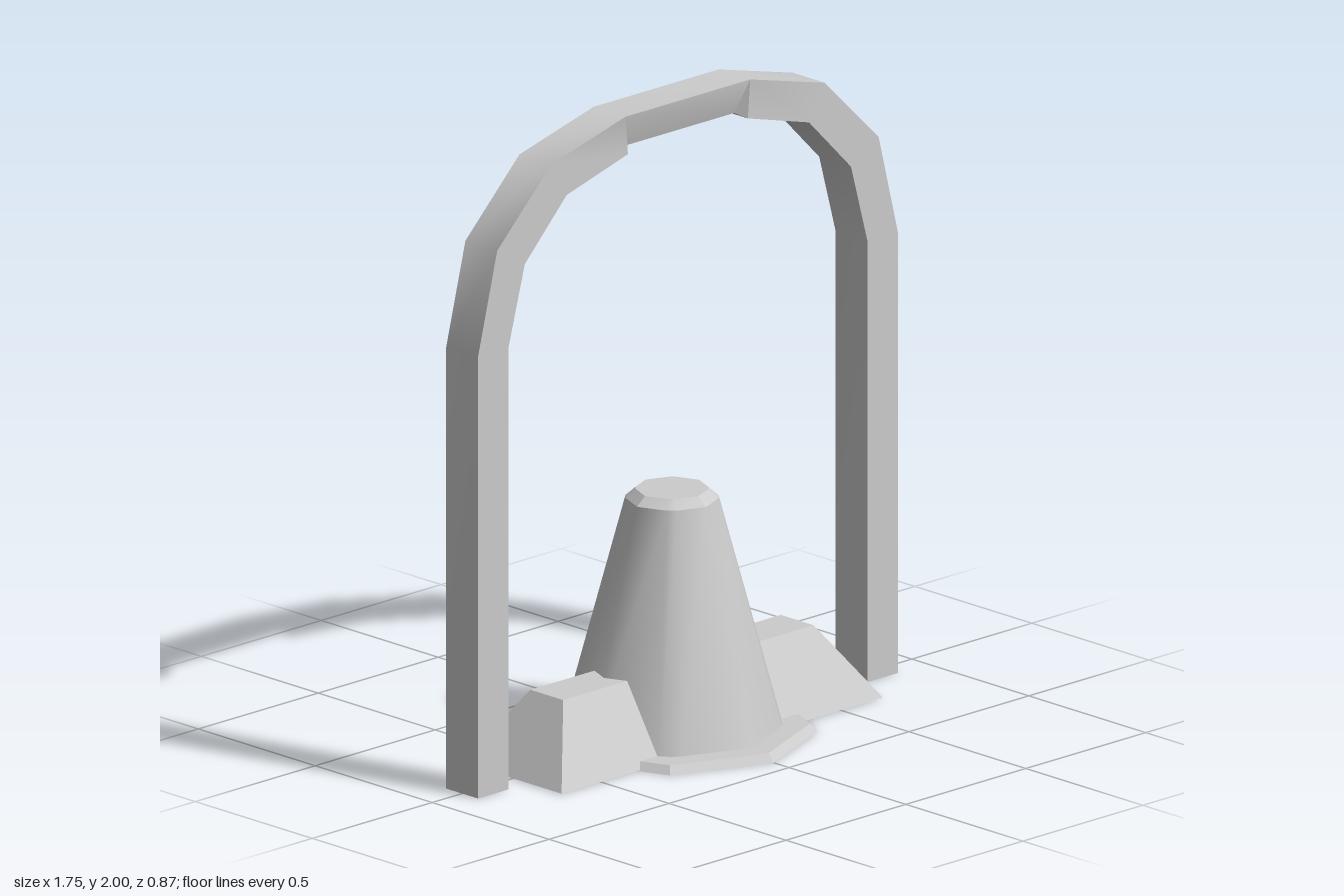
import * as THREE from 'three';
import { toCreasedNormals } from 'three/addons/utils/BufferGeometryUtils.js';

const material = new THREE.MeshStandardMaterial({ color: 0xcccccc, side: THREE.DoubleSide });

// Skins a list of equal-length rings; each ring runs counterclockwise seen from the sweep's end
function loft(name, rings, crease, { capStart = false, capEnd = false } = {}) {
  const pos = [];
  const tri = (a, b, c) => {
    const ab = b.clone().sub(a), ac = c.clone().sub(a);
    if (ab.cross(ac).length() > 1e-7) for (const p of [a, b, c]) pos.push(p.x, p.y, p.z);
  };
  const n = rings[0].length;
  for (let i = 0; i < rings.length - 1; i++) {
    for (let j = 0; j < n; j++) {
      const k = (j + 1) % n;
      tri(rings[i][j], rings[i][k], rings[i + 1][k]);
      tri(rings[i][j], rings[i + 1][k], rings[i + 1][j]);
    }
  }
  const first = rings[0], last = rings[rings.length - 1];
  for (let j = 1; j < n - 1; j++) {
    if (capStart) tri(first[0], first[j + 1], first[j]);
    if (capEnd) tri(last[0], last[j], last[j + 1]);
  }
  const g = new THREE.BufferGeometry();
  g.setAttribute('position', new THREE.Float32BufferAttribute(pos, 3));
  g.computeVertexNormals();
  const mesh = new THREE.Mesh(toCreasedNormals(g, crease), material);
  mesh.name = name;
  return mesh;
}

const v = (x, y, z) => new THREE.Vector3(x, y, z);

// Regular octagon with a corner on each axis
function octagon(r, y) {
  return Array.from({ length: 8 }, (_, i) => {
    const a = (i * Math.PI) / 4;
    return v(r * Math.sin(a), y, r * Math.cos(a));
  });
}

// Octagon whose diagonal corners are chamfered
function chamferedOctagon(r, y) {
  const corners = octagon(r, y);
  return corners.flatMap((p, i) => {
    if (i % 2 === 0) return [p];
    return [p.clone().lerp(corners[i - 1], 0.14), p.clone().lerp(corners[(i + 1) % 8], 0.14)];
  });
}

// Axis-aligned rectangle at height y
const rectangle = (hx, hz, y) => [v(hx, y, hz), v(hx, y, -hz), v(-hx, y, -hz), v(-hx, y, hz)];

function createArch() {
  const w = 0.068;
  // outer x, outer y, inner x, inner y, inner half depth
  const half = [
    [0.875, 0, 0.748, 0, w],
    [0.875, 1.385, 0.748, 1.385, w],
    [0.795, 1.7, 0.68, 1.632, w],
    [0.57, 1.92, 0.505, 1.81, w],
    [0.26, 2, 0.25, 1.88, w],
    [0.26, 2, 0.225, 1.895, 0.035], // start of the recessed centre
  ];
  const mirrored = half.map(([ox, oy, ix, iy, d]) => [-ox, oy, -ix, iy, d]).reverse();
  const rings = [...half, ...mirrored].map(([ox, oy, ix, iy, d]) => [
    v(ox, oy, w), v(ox, oy, -w), v(ix, iy, -d), v(ix, iy, d),
  ]);
  return loft('arch', rings, 0.62);
}

export function createModel() {
  const model = new THREE.Group();
  model.name = 'archedPedestal';

  model.add(createArch());

  // Hollow tapered body with a bevelled, flat top
  model.add(loft('taperedBody', [chamferedOctagon(0.345, 0.01), chamferedOctagon(0.145, 0.735)], 0.85));
  model.add(loft('bodyTop', [chamferedOctagon(0.145, 0.735), chamferedOctagon(0.113, 0.762)], 0.5, { capEnd: true }));

  // Thin flange around the foot of the body
  model.add(loft('baseFlange',
    [octagon(0.335, 0), octagon(0.435, 0), octagon(0.413, 0.025), octagon(0.335, 0.025)], 0.3));

  // Long sloped block passing through the body
  model.add(loft('crossBlock',
    [rectangle(0.67, 0.215, 0.003), rectangle(0.522, 0.07, 0.23)], 0.3, { capStart: true, capEnd: true }));

  return model;
}
